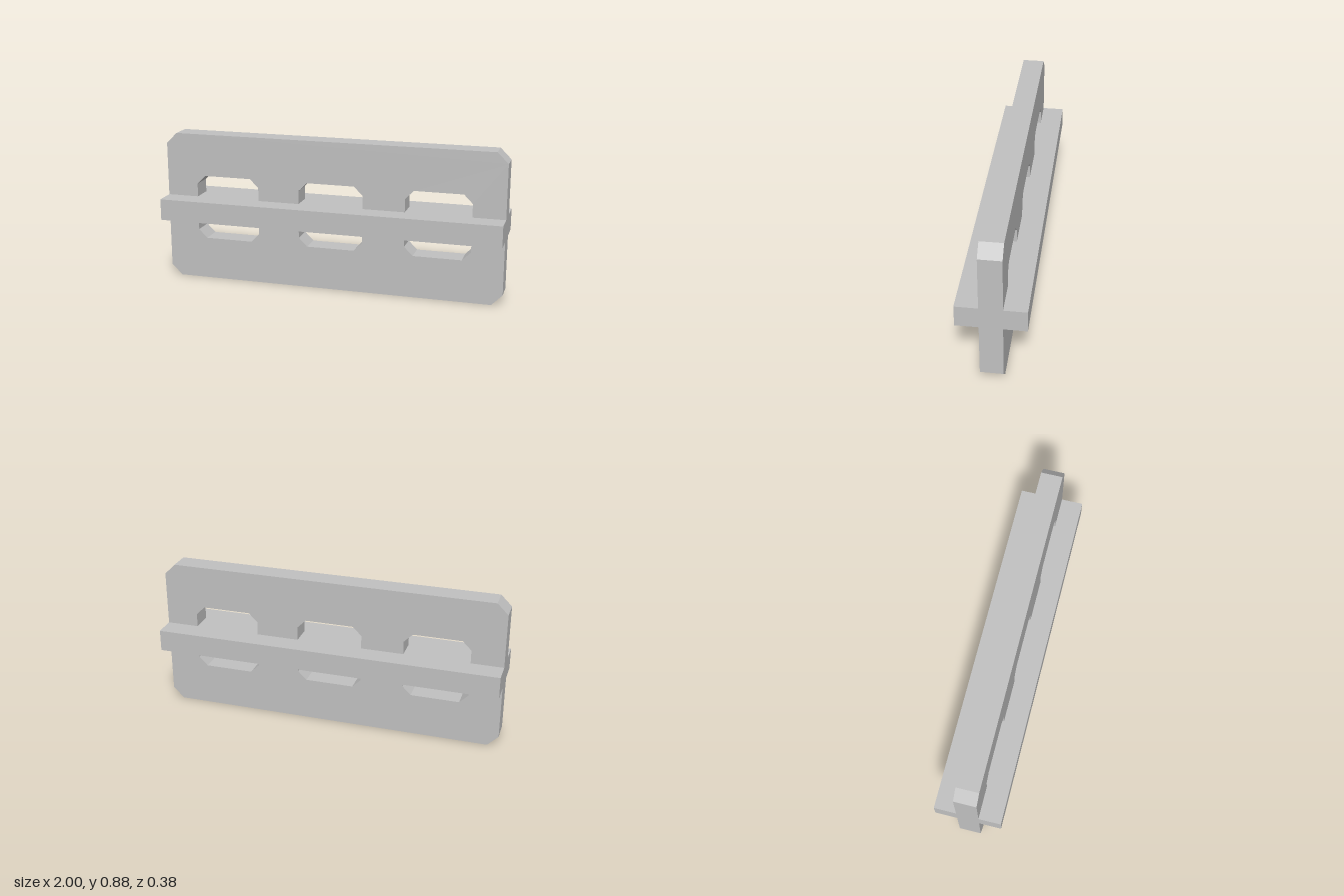
import * as THREE from 'three';

// Corner points of a rectangle with chamfered corners
function chamferedRect(cx, cy, halfW, halfH, c) {
  return [
    [halfW - c, -halfH], [halfW, c - halfH],
    [halfW, halfH - c], [halfW - c, halfH],
    [c - halfW, halfH], [-halfW, halfH - c],
    [-halfW, c - halfH], [c - halfW, -halfH],
  ].map(([x, y]) => new THREE.Vector2(cx + x, cy + y));
}

export function createModel() {
  const model = new THREE.Group();
  model.name = 'slottedRail';
  const grey = new THREE.MeshStandardMaterial({ color: 0xc0c0c0 });
  grey.name = 'grey';
  const midY = 0.4375;

  // Upright plate with three chamfered windows
  const outline = new THREE.Shape(chamferedRect(0, midY, 1, midY, 0.0625));
  for (const x of [-0.625, 0, 0.625]) {
    outline.holes.push(new THREE.Path(chamferedRect(x, midY, 0.19, 0.19, 0.05)));
  }
  const plateGeometry = new THREE.ExtrudeGeometry(outline, { depth: 0.125, bevelEnabled: false });
  plateGeometry.translate(0, 0, -0.0625);
  const plate = new THREE.Mesh(plateGeometry, grey);
  plate.name = 'uprightPlate';

  // Horizontal bar running through the windows
  const bar = new THREE.Mesh(new THREE.BoxGeometry(2, 0.125, 0.375), grey);
  bar.name = 'crossBar';
  bar.position.y = midY;

  model.add(plate, bar);
  return model;
}
